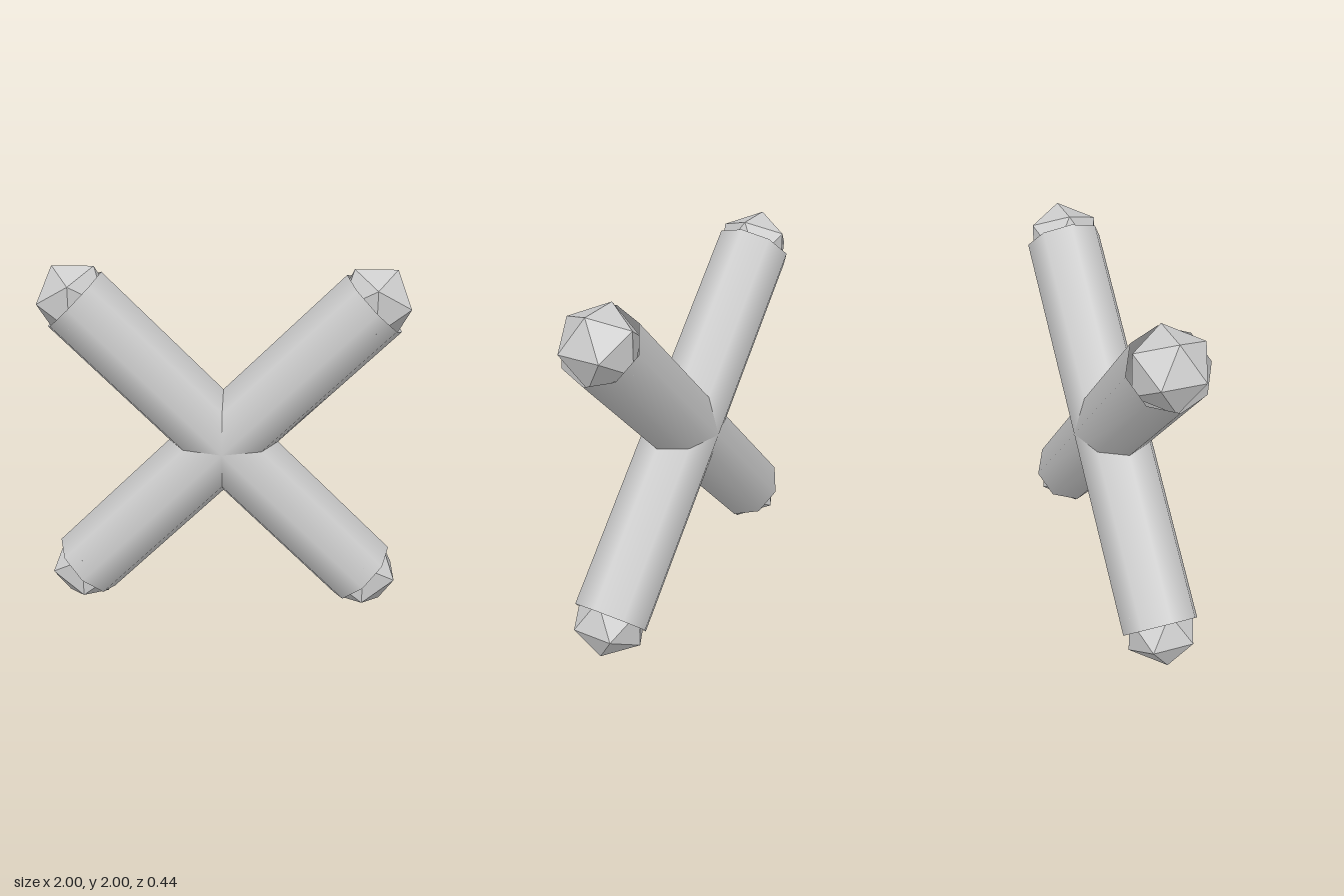
import * as THREE from 'three';

const REACH = 0.814;  // distance of each tip from the centre, along x and y
const RADIUS = 0.219;

export function createModel() {
  const group = new THREE.Group();
  const grey = new THREE.MeshStandardMaterial({ color: 0xcccccc, side: THREE.DoubleSide });
  grey.name = 'light grey';

  // Two open eight-sided tubes crossing at the centre
  const tube = new THREE.CylinderGeometry(RADIUS, RADIUS, REACH * 2 * Math.SQRT2, 8, 1, true);
  for (const [name, side] of [['risingTube', -1], ['fallingTube', 1]]) {
    const mesh = new THREE.Mesh(tube, grey);
    mesh.name = name;
    mesh.position.y = 1;
    mesh.rotation.z = side * Math.PI / 4;
    group.add(mesh);
  }

  // Faceted ball plugging each of the four tube ends
  const ball = new THREE.IcosahedronGeometry(RADIUS, 0);
  for (const x of [-1, 1]) {
    for (const y of [-1, 1]) {
      const mesh = new THREE.Mesh(ball, grey);
      mesh.name = (y > 0 ? 'upper' : 'lower') + (x > 0 ? 'Left' : 'Right') + 'Ball';
      mesh.position.set(x * REACH, 1 + y * REACH, 0);
      group.add(mesh);
    }
  }
  return group;
}
